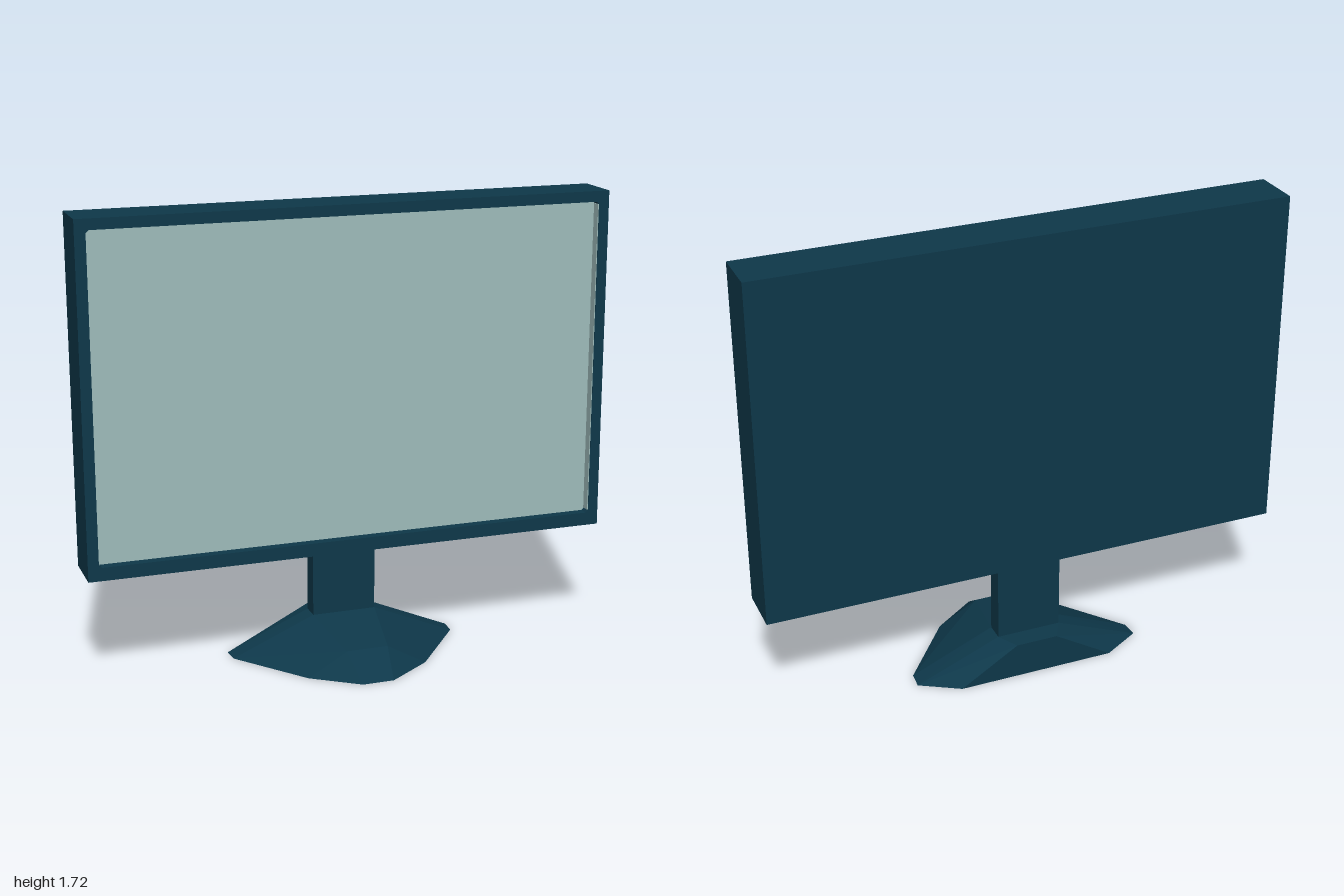
import * as THREE from 'three';
import { ConvexGeometry } from 'three/addons/geometries/ConvexGeometry.js';

export function createModel() {
  const model = new THREE.Group();
  model.name = 'monitor';
  const casing = new THREE.MeshStandardMaterial({ name: 'dark teal casing', color: 0x0e384a });
  const glass = new THREE.MeshStandardMaterial({ name: 'pale screen', color: 0x9fbdbc });

  const add = (name, geometry, material, x = 0, y = 0, z = 0) => {
    const mesh = new THREE.Mesh(geometry, material);
    mesh.name = name;
    mesh.position.set(x, y, z);
    model.add(mesh);
    return mesh;
  };

  const bottom = 0.415, top = 1.715, depth = 0.19, recess = 0.04;
  const midY = (bottom + top) / 2;
  const openW = 1.92, openH = 1.21, openY = 1.07;

  // Housing behind the recessed screen
  add('housing', new THREE.BoxGeometry(2, top - bottom, depth - recess), casing,
    0, midY, -(depth + recess) / 2);

  // Bezel with a slightly rounded opening
  const outline = new THREE.Shape();
  outline.moveTo(-1, bottom).lineTo(1, bottom).lineTo(1, top).lineTo(-1, top).closePath();
  const r = 0.01, w = openW / 2, y0 = openY - openH / 2, y1 = openY + openH / 2;
  const opening = new THREE.Path();
  opening.moveTo(-w + r, y0);
  opening.lineTo(-w, y0 + r).lineTo(-w, y1 - r).lineTo(-w + r, y1);
  opening.lineTo(w - r, y1).lineTo(w, y1 - r).lineTo(w, y0 + r).lineTo(w - r, y0);
  opening.closePath();
  outline.holes.push(opening);
  add('bezel', new THREE.ExtrudeGeometry(outline, { depth: recess, bevelEnabled: false }),
    casing, 0, 0, -recess);

  // Screen, with pale linings on the side walls of the recess
  add('screen', new THREE.BoxGeometry(openW, openH, 0.004), glass, 0, openY, -recess + 0.002);
  for (const side of [-1, 1]) {
    add(side < 0 ? 'screenLiningRight' : 'screenLiningLeft',
      new THREE.BoxGeometry(0.003, openH - 2 * r, recess - 0.002), glass,
      side * (w - 0.0015), openY, -recess / 2 - 0.001);
  }

  // Neck, flush with the back of the housing
  add('neck', new THREE.BoxGeometry(0.246, 0.32, 0.07), casing, 0, 0.275, -0.155);

  // Faceted foot: half of its corners, mirrored across x
  const corners = [
    [0.3, 0, -0.27], [0.445, 0, -0.185], [0.44, 0, -0.12], [0.23, 0, 0.15], [0.06, 0, 0.27],
    [0.08, 0.135, -0.27], [0.123, 0.135, -0.19], [0.123, 0.135, -0.12], [0.08, 0.085, 0.148],
  ];
  const points = corners.flatMap(([x, y, z]) =>
    [new THREE.Vector3(x, y, z), new THREE.Vector3(-x, y, z)]);
  add('foot', new ConvexGeometry(points), casing);

  return model;
}
